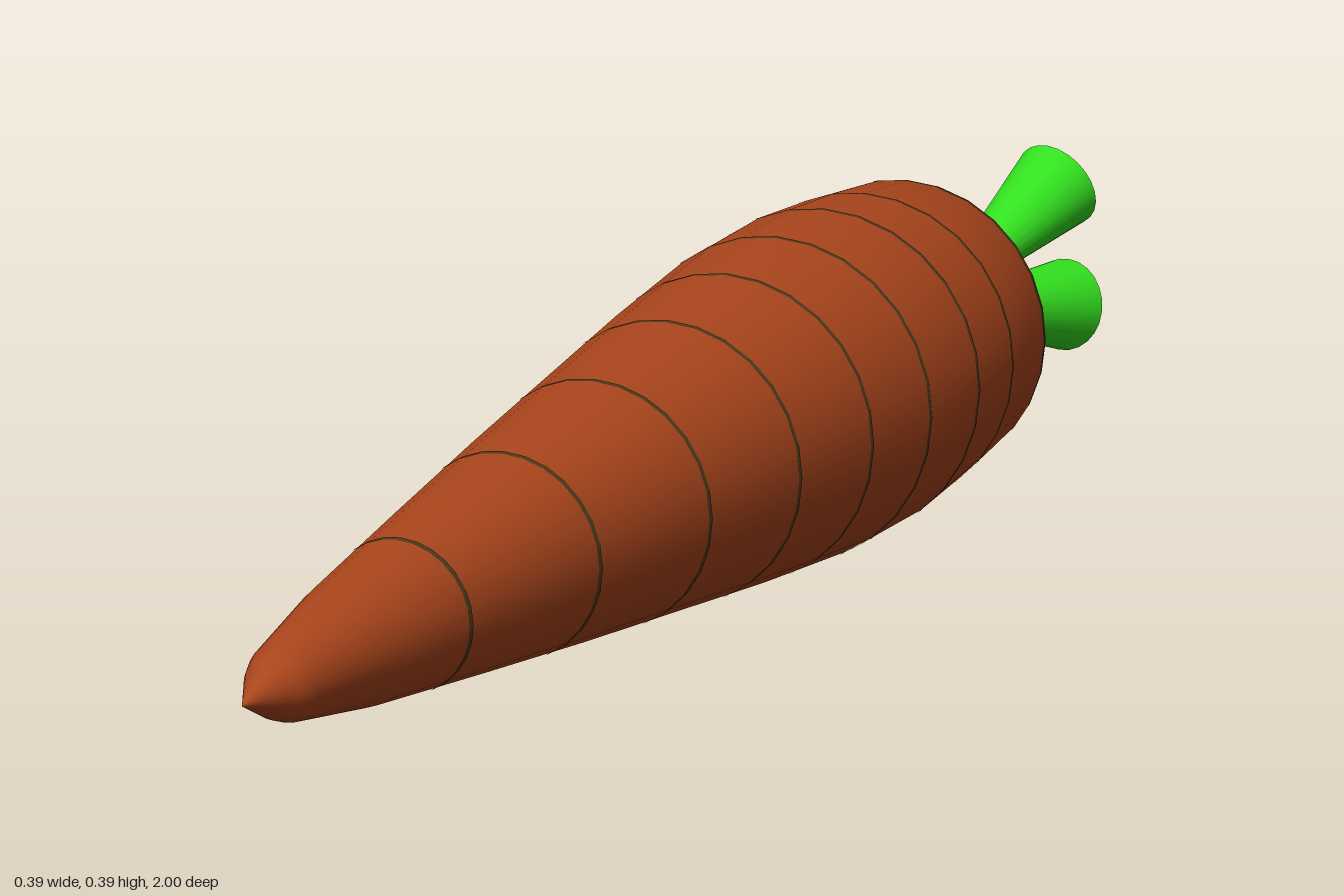
import * as THREE from 'three';

const AXIS_Y = 0.195;
const SIDES = 28;

// Root profile: [radius, z] from the rounded crown to the tip
const PROFILE = [
  [0, -0.705], [0.045, -0.698], [0.085, -0.683], [0.122, -0.66], [0.152, -0.63], [0.178, -0.588],
  [0.187, -0.47], [0.193, -0.34], [0.188, -0.2], [0.167, 0], [0.142, 0.2], [0.117, 0.4],
  [0.09, 0.6], [0.062, 0.8], [0.038, 0.925], [0.03, 0.945], [0, 1],
];

// Root radius at a given z
function radiusAt(z) {
  const i = PROFILE.findIndex((p) => p[1] >= z);
  const [r0, z0] = PROFILE[i - 1];
  const [r1, z1] = PROFILE[i];
  return r0 + (r1 - r0) * (z - z0) / (z1 - z0);
}

// Surface of revolution around the z axis
function turned(points, material, name) {
  const geometry = new THREE.LatheGeometry(points.map(([r, z]) => new THREE.Vector2(r, z)), SIDES);
  geometry.rotateX(Math.PI / 2);
  const mesh = new THREE.Mesh(geometry, material);
  mesh.position.y = AXIS_Y;
  mesh.name = name;
  return mesh;
}

// Flaring stalk between two points
function stalk(from, to, material) {
  const a = new THREE.Vector3(...from);
  const b = new THREE.Vector3(...to);
  const dir = b.clone().sub(a);
  const mesh = new THREE.Mesh(new THREE.CylinderGeometry(0.058, 0.012, dir.length(), 24), material);
  mesh.position.copy(a).add(b).multiplyScalar(0.5);
  mesh.quaternion.setFromUnitVectors(new THREE.Vector3(0, 1, 0), dir.normalize());
  mesh.name = 'leafStalk';
  return mesh;
}

export function createModel() {
  const group = new THREE.Group();
  group.name = 'carrot';
  const orange = new THREE.MeshStandardMaterial({ color: 0xa9451c });
  const dark = new THREE.MeshStandardMaterial({ color: 0x4a3a1c });
  const green = new THREE.MeshStandardMaterial({ color: 0x33e01f });

  // Tapered root
  group.add(turned(PROFILE, orange, 'root'));

  // Thin growth rings lying on the skin
  for (const z of [-0.58, -0.45, -0.33, -0.195, -0.06, 0.095, 0.275, 0.48, 0.7]) {
    const band = [z - 0.003, z + 0.003].map((s) => [radiusAt(s) + 0.0008, s]);
    group.add(turned(band, dark, 'growthRing'));
  }

  // Leaf stalks fanning out of the crown
  group.add(stalk([-0.014, 0.195, -0.69], [-0.125, 0.195, -0.978], green));
  group.add(stalk([0, 0.205, -0.69], [0.068, 0.31, -0.92], green));
  group.add(stalk([0, 0.19, -0.69], [0.07, 0.15, -0.95], green));

  return group;
}
